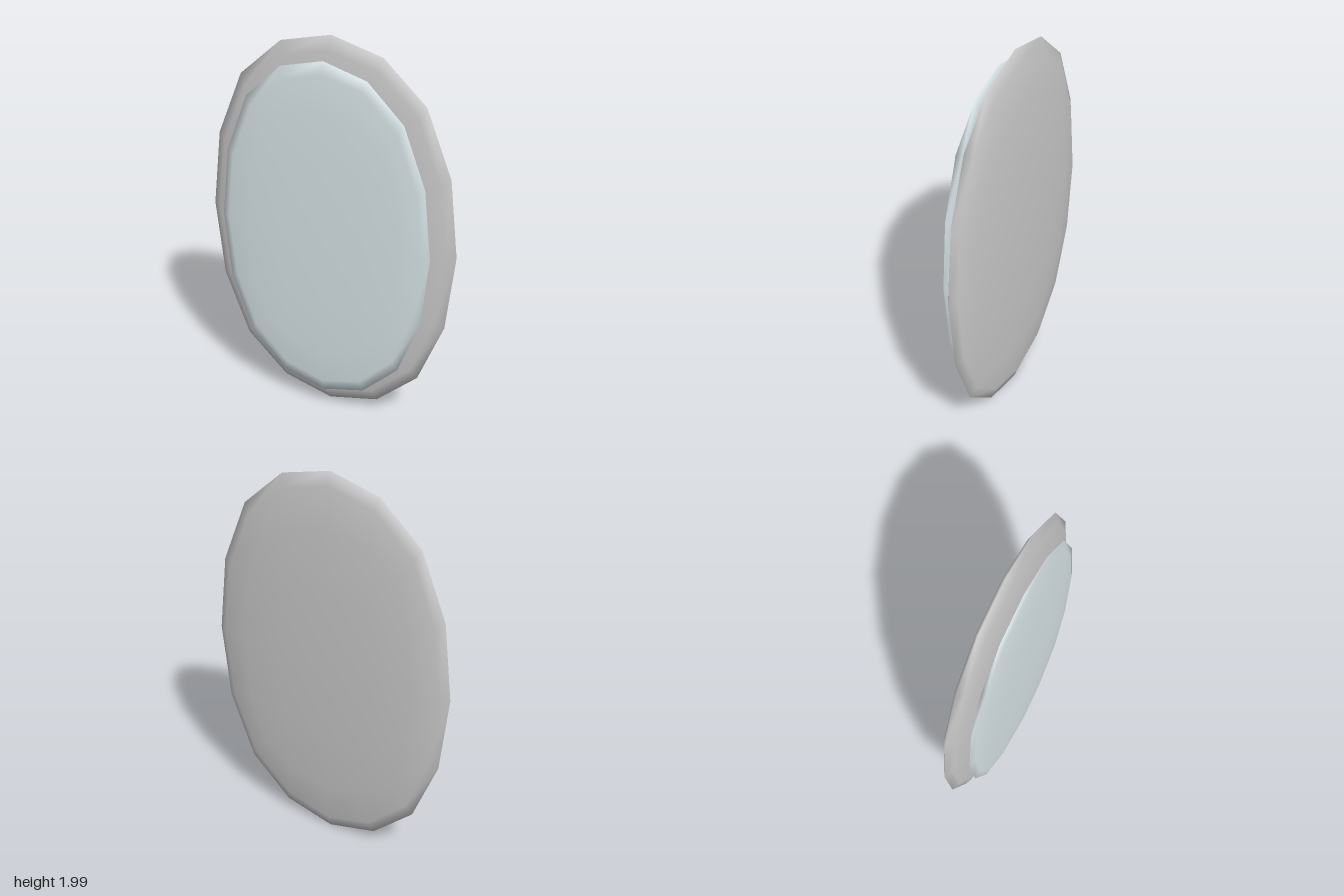
import * as THREE from 'three';
import { mergeVertices } from 'three/addons/utils/BufferGeometryUtils.js';

// Twice-smoothed cube: each vertex of a 4x4x4 box is placed by its grid steps
// from the centre. Key: the steps in falling order; value: coordinate per step 0, 1, 2.
const ROUNDED = {
  '200': [0, 0, 1],
  '210': [0, 0.399, 0.933],
  '220': [0, 0, 0.732],
  '211': [0, 0.371, 0.870],
  '221': [0, 0.344, 0.682],
  '222': [0, 0, 0.580],
};

function roundedDisc(name, color, halfSize, centre) {
  let geo = new THREE.BoxGeometry(4, 4, 4, 4, 4, 4);
  geo.deleteAttribute('normal');
  geo.deleteAttribute('uv');
  geo = mergeVertices(geo);
  const pos = geo.attributes.position;
  for (let i = 0; i < pos.count; i++) {
    const p = [pos.getX(i), pos.getY(i), pos.getZ(i)].map(Math.round);
    const key = p.map(Math.abs).sort((a, b) => b - a).join('');
    const q = p.map((v, k) => Math.sign(v) * ROUNDED[key][Math.abs(v)] * halfSize[k]);
    pos.setXYZ(i, ...q);
  }
  geo.computeVertexNormals();
  const mesh = new THREE.Mesh(geo, new THREE.MeshStandardMaterial({ color }));
  mesh.name = name;
  mesh.position.set(...centre);
  return mesh;
}

export function createModel() {
  const group = new THREE.Group();
  group.name = 'ovalMirror';
  // Backing, whose edge shows as the frame
  group.add(roundedDisc('frame', 0xcccccc, [0.663, 0.997, 0.064], [0, 1.003, -0.025]));
  // Thin glass in front
  group.add(roundedDisc('glass', 0xdbe7eb, [0.562, 0.897, 0.03], [0, 1.003, 0.057]));
  return group;
}
